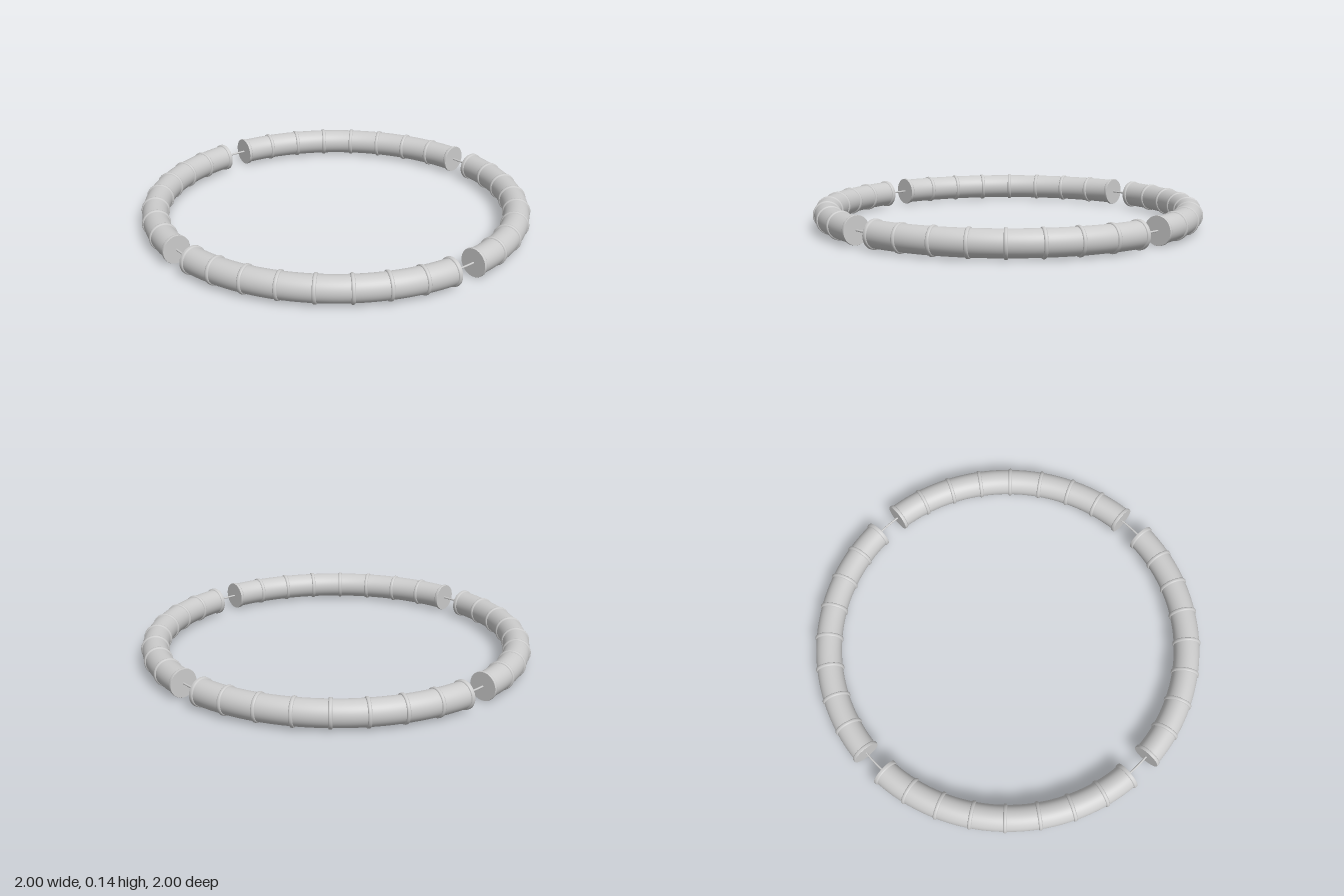
import * as THREE from 'three';

const RING = 0.93;        // radius of the ring's centre line
const TUBE = 0.066;       // radius of the plain tube
const BAND = 0.0725;      // radius over the raised bands
const START = THREE.MathUtils.degToRad(4.1);
const SPAN = Math.PI / 2 - 2 * START;
const BAYS = 8;

const material = new THREE.MeshStandardMaterial({ color: 0xcccccc });

function part(name, geometry) {
  const mesh = new THREE.Mesh(geometry, material);
  mesh.name = name;
  return mesh;
}

// Set an object on the centre line with its y axis along the ring
function place(object, angle, flip = false) {
  object.position.set(RING * Math.cos(angle), RING * Math.sin(angle), 0);
  object.rotation.z = angle + (flip ? Math.PI : 0);
  return object;
}

function lathe(points) {
  return new THREE.LatheGeometry(points.map(([r, y]) => new THREE.Vector2(r, y)), 40);
}

export function createModel() {
  const model = new THREE.Group();
  model.name = 'segmentedRing';

  const bodyGeometry = new THREE.TorusGeometry(RING, TUBE, 40, 64, SPAN);
  bodyGeometry.rotateZ(START);

  // Rounded bead around the tube
  const beadGeometry = lathe([
    [0.064, -0.01], [0.069, -0.009], [0.0718, -0.006], [BAND, -0.002],
    [BAND, 0.002], [0.0718, 0.006], [0.069, 0.009], [0.064, 0.01],
  ]);

  // Flat-ended collar and the disc closing it
  const collarGeometry = lathe([
    [0.0715, 0], [BAND, 0.002], [BAND, 0.012], [0.0715, 0.016], [0.069, 0.019], [0.064, 0.02],
  ]);
  const capGeometry = new THREE.CircleGeometry(0.0715, 40);
  capGeometry.rotateX(Math.PI / 2);

  // Thin rod bridging the gap, sunk a little into both neighbours
  const reach = START + 0.01;
  const rodGeometry = new THREE.TorusGeometry(RING, 0.005, 12, 16, 2 * reach);
  rodGeometry.rotateZ(-reach);

  for (let q = 0; q < 4; q++) {
    const quarter = new THREE.Group();
    quarter.name = 'quarter' + (q + 1);
    quarter.add(part('tube', bodyGeometry), part('connectingRod', rodGeometry));

    for (let i = 1; i < BAYS; i++) {
      quarter.add(place(part('band', beadGeometry), START + SPAN * i / BAYS));
    }
    for (const far of [false, true]) {
      const end = new THREE.Group();
      end.name = 'endCollar';
      end.add(part('collar', collarGeometry), part('endCap', capGeometry));
      quarter.add(place(end, far ? START + SPAN : START, far));
    }

    quarter.rotation.z = q * Math.PI / 2;
    model.add(quarter);
  }

  // Lay the ring flat and rest it on the ground
  const ring = new THREE.Group();
  ring.name = 'ring';
  ring.add(...model.children.slice());
  ring.rotation.x = Math.PI / 2;
  ring.position.y = BAND;
  model.add(ring);
  return model;
}
